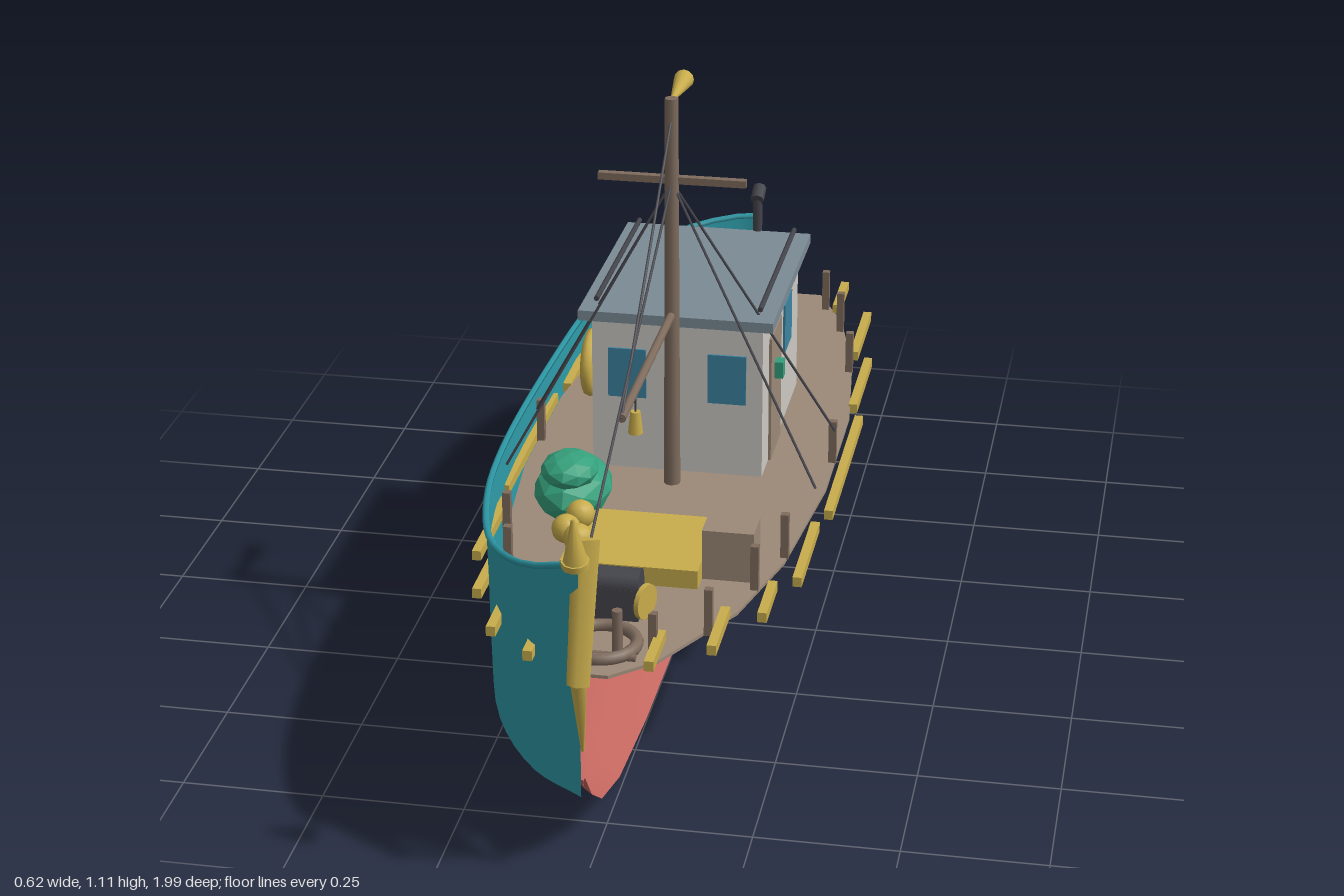
import * as THREE from 'three';

const mat = (name, color, extra = {}) => {
  const m = new THREE.MeshStandardMaterial({ color, ...extra });
  m.name = name;
  return m;
};

export function createModel() {
  const boat = new THREE.Group();
  const DS = { side: THREE.DoubleSide };
  const teal = mat('teal hull paint', 0x2e9ba8, DS);
  const red = mat('red bottom paint', 0xc2665e, DS);
  const deckTan = mat('deck planks', 0x9c8a78);
  const wood = mat('dark wood', 0x7f6c5e);
  const white = mat('cabin paint', 0xcdcac4);
  const slate = mat('roof slate', 0x7c8b96);
  const yellow = mat('yellow trim', 0xc8ac4c);
  const dark = mat('dark iron', 0x44444c);
  const glass = mat('window glass', 0x3c83a0);
  const green = mat('green net', 0x35a07c, { flatShading: true });

  const add = (name, geo, m, x = 0, y = 0, z = 0) => {
    const mesh = new THREE.Mesh(geo, m);
    mesh.name = name;
    mesh.position.set(x, y, z);
    boat.add(mesh);
    return mesh;
  };
  // box given by its min and max on each axis
  const box = (name, m, x0, x1, y0, y1, z0, z1) =>
    add(name, new THREE.BoxGeometry(x1 - x0, y1 - y0, z1 - z0), m, (x0 + x1) / 2, (y0 + y1) / 2, (z0 + z1) / 2);
  // round rod between two points
  const rod = (name, m, a, b, r0, r1 = r0, sides = 8) => {
    const A = new THREE.Vector3(...a), B = new THREE.Vector3(...b), d = B.clone().sub(A);
    const mesh = add(name, new THREE.CylinderGeometry(r1, r0, d.length(), sides), m);
    mesh.position.copy(A).add(B).multiplyScalar(0.5);
    mesh.quaternion.setFromUnitVectors(new THREE.Vector3(0, 1, 0), d.normalize());
    return mesh;
  };
  // open skin from a list of equally long cross-sections
  const skin = (name, m, sections) => {
    const n = sections[0].length, idx = [];
    for (let i = 0; i < sections.length - 1; i++)
      for (let j = 0; j < n - 1; j++) {
        const a = i * n + j, b = a + n;
        idx.push(a, a + 1, b, b, a + 1, b + 1);
      }
    const g = new THREE.BufferGeometry();
    g.setAttribute('position', new THREE.Float32BufferAttribute(sections.flat(2), 3));
    g.setIndex(idx);
    g.computeVertexNormals();
    return add(name, g, m);
  };

  // upper hull: half breadth and sheer height along the length, starboard half only
  const stations = [[0.93, 0.005, 0.585], [0.86, 0.1, 0.54], [0.7, 0.2, 0.49], [0.45, 0.27, 0.452], [0.2, 0.3, 0.432],
    [-0.2, 0.3, 0.426], [-0.5, 0.275, 0.438], [-0.7, 0.225, 0.455], [-0.83, 0.15, 0.475], [-0.885, 0.05, 0.488], [-0.895, 0, 0.49]];
  const line = new THREE.CatmullRomCurve3(stations.map(([z, x, y]) => new THREE.Vector3(-x, y, z)), false, 'centripetal');
  skin('upperHull', teal, line.getPoints(40).map((p) => [
    [p.x, p.y, p.z], [p.x * 0.99, p.y - 0.1, p.z], [p.x * 0.985, p.y - 0.2, p.z], [p.x * 0.975, 0.16, p.z]]));
  // rounded cap along the bulwark
  add('bulwarkCap', new THREE.TubeGeometry(line, 40, 0.006, 5), teal);

  // lower hull: V-shaped bottom with the keel rising at both ends
  const keel = [[0.92, 0.19, 0.18, 0.03], [0.87, 0.13, 0.19, 0.25], [0.79, 0.075, 0.2, 0.5], [0.64, 0.03, 0.212, 0.8], [0.4, 0.008, 0.225, 0.97],
    [0, 0.003, 0.232, 1], [-0.45, 0.005, 0.225, 0.95], [-0.68, 0.028, 0.208, 0.75], [-0.8, 0.065, 0.195, 0.5], [-0.88, 0.11, 0.185, 0.12]];
  skin('lowerHull', red, keel.map(([z, k, t, w]) => [[0, 0], [0.06, 0.2], [0.1, 0.46], [0.133, 0.7], [0.165, 1]]
    .map(([x, f]) => [-x * w, k + (t - k) * f, z])));

  // deck
  const half = [[0.03, 0.875], [0.1, 0.81], [0.2, 0.62], [0.25, 0.42], [0.28, 0.12], [0.28, -0.2], [0.25, -0.47], [0.2, -0.67], [0.14, -0.8]];
  const outline = [...half, ...half.map(([x, z]) => [-x, z]).reverse()].map(([x, z]) => new THREE.Vector2(x, -z));
  const deck = add('deck', new THREE.ExtrudeGeometry(new THREE.Shape(outline), { depth: 0.006, bevelEnabled: false }), deckTan, 0, 0.352, 0);
  deck.rotation.x = -Math.PI / 2;

  // rubbing strips and bulwark posts on both sides
  const strips = [[0.1, 0.78, 0.89, 0.39], [0.185, 0.65, 0.79, 0.374], [0.245, 0.52, 0.64, 0.362], [0.282, 0.27, 0.49, 0.356],
    [0.297, -0.01, 0.21, 0.35], [0.297, -0.21, -0.01, 0.35], [0.28, -0.48, -0.25, 0.354], [0.25, -0.7, -0.49, 0.36], [0.185, -0.84, -0.71, 0.366]];
  const posts = [[0.09, 0.8], [0.165, 0.7], [0.215, 0.53], [0.247, 0.4], [0.275, 0], [0.25, -0.42], [0.205, -0.62], [0.16, -0.73]];
  for (const s of [1, -1]) {
    for (const [x, z0, z1, y] of strips) box('rubbingStrip', yellow, s * x - 0.008, s * x + 0.008, y - 0.009, y + 0.009, z0, z1);
    for (const [x, z] of posts) box('bulwarkPost', wood, s * x - 0.007, s * x + 0.007, 0.355, 0.44, z - 0.007, z + 0.007);
  }

  // cabin, roof and roof rails
  box('cabin', white, -0.157, 0.157, 0.354, 0.655, -0.34, 0.09);
  const roof = box('cabinRoof', slate, -0.178, 0.178, 0.65, 0.669, -0.355, 0.112);
  roof.rotation.x = -0.012;
  for (const s of [1, -1]) rod('roofRail', dark, [s * 0.15, 0.682, -0.33], [s * 0.15, 0.684, 0.08], 0.005);
  // windows and door
  for (const s of [1, -1]) {
    box('frontWindow', glass, s * 0.092 - 0.035, s * 0.092 + 0.035, 0.5, 0.595, 0.088, 0.094);
    const x = s * 0.157;
    box('sideWindow', glass, x - 0.004, x + 0.004, 0.5, 0.597, -0.24, -0.155);
  }
  box('sideWindow', glass, -0.161, -0.153, 0.5, 0.597, -0.11, -0.04);
  box('cabinDoor', wood, 0.153, 0.162, 0.358, 0.6, -0.105, 0.015).material = deckTan;
  box('greenLamp', green, 0.162, 0.178, 0.508, 0.54, -0.045, -0.02);
  box('redLamp', red, -0.178, -0.157, 0.508, 0.54, -0.045, -0.02);
  add('lifebuoy', new THREE.TorusGeometry(0.052, 0.012, 8, 20), yellow, -0.17, 0.537, 0.03).rotation.y = Math.PI / 2;

  // exhaust stack
  rod('exhaustPipe', dark, [0.075, 0.355, -0.358], [0.075, 0.735, -0.358], 0.009);
  rod('exhaustMuffler', dark, [0.075, 0.5, -0.358], [0.075, 0.63, -0.358], 0.018, 0.018, 12);
  rod('exhaustTip', dark, [0.075, 0.73, -0.35], [0.075, 0.745, -0.38], 0.013);

  // mast, yard, boom, horn and hanging lamp
  rod('mast', wood, [0, 0.355, 0.14], [0, 1.095, 0.14], 0.015, 0.012, 10);
  box('yard', wood, -0.132, 0.132, 0.937, 0.95, 0.128, 0.142);
  rod('boom', wood, [0, 0.69, 0.14], [0, 0.69, 0.6], 0.008);
  rod('mastHorn', yellow, [0, 1.09, 0.13], [0, 1.09, 0.02], 0.004, 0.018, 12);
  rod('lampCord', dark, [0, 0.69, 0.48], [0, 0.65, 0.48], 0.002, 0.002, 4);
  rod('hangingLamp', yellow, [0, 0.61, 0.48], [0, 0.65, 0.48], 0.013, 0.009);

  // rigging
  const ropes = [[[0, 1.06, 0.14], [0, 0.69, 0.6]], [[0, 0.94, 0.14], [0, 0.69, 0.6]], [[0, 0.94, 0.14], [0, 0.57, 0.9]]];
  for (const s of [1, -1]) for (const z of [0.26, 0.01]) ropes.push([[0, 0.94, 0.14], [s * 0.28, 0.425, z]]);
  // the second entry would double the topping lift, so it is left out
  ropes.filter((_, i) => i !== 1).forEach(([a, b]) => rod('rope', dark, a, b, 0.0025, 0.0025, 5));

  // stem post with pointed finial
  rod('stemPost', yellow, [0, 0.385, 0.965], [0, 0.61, 0.89], 0.019, 0.023, 4);
  rod('stemSpike', yellow, [0, 0.25, 0.935], [0, 0.39, 0.962], 0.003, 0.014, 4);
  rod('stemFinial', yellow, [0, 0.612, 0.972], [0, 0.69, 0.985], 0.02, 0.003, 10);
  rod('finialCollar', yellow, [0, 0.602, 0.97], [0, 0.613, 0.972], 0.023, 0.023, 10);

  // foredeck: hatch, floats, net pile, windlass, crates, coils, disc
  box('hatch', yellow, -0.12, 0.12, 0.357, 0.392, 0.34, 0.55);
  for (const [x, z] of [[-0.115, 0.4], [-0.128, 0.46], [-0.1, 0.492]])
    add('float', new THREE.SphereGeometry(0.026, 12, 8), yellow, x, 0.408, z);
  add('netPile', new THREE.IcosahedronGeometry(1, 1), green, -0.15, 0.41, 0.295).scale.set(0.07, 0.053, 0.1);
  add('netPileTop', new THREE.IcosahedronGeometry(1, 1), green, -0.15, 0.458, 0.325).scale.set(0.052, 0.03, 0.062);
  box('windlassBase', dark, -0.043, 0.043, 0.357, 0.415, 0.63, 0.685);
  rod('windlassDrum', dark, [-0.043, 0.415, 0.657], [0.043, 0.415, 0.657], 0.0275, 0.0275, 14);
  box('foreCrate', deckTan, 0.12, 0.21, 0.357, 0.45, 0.44, 0.51);
  box('aftCrate', deckTan, -0.18, -0.085, 0.357, 0.45, -0.595, -0.525);
  for (const [z, r] of [[0.785, 0.06], [-0.73, 0.05]])
    add('ropeCoil', new THREE.TorusGeometry(r, 0.011, 8, 24), wood, 0, 0.37, z).rotation.x = Math.PI / 2;
  for (const x of [-0.035, 0.035]) rod('bowBitt', wood, [x, 0.357, 0.82], [x, 0.45, 0.82], 0.009);
  rod('bittBar', wood, [-0.065, 0.365, 0.82], [0.065, 0.365, 0.82], 0.007);
  rod('bowDisc', yellow, [0.075, 0.463, 0.805], [0.083, 0.463, 0.808], 0.03, 0.03, 16);

  // rudder, hinges and tiller
  box('rudder', deckTan, -0.01, 0.01, 0.085, 0.32, -1, -0.892);
  for (const y of [0.14, 0.265]) box('rudderHinge', dark, -0.014, 0.014, y - 0.006, y + 0.006, -0.945, -0.87);
  rod('tiller', wood, [0, 0.43, -0.74], [0, 0.4, -0.935], 0.009);

  return boat;
}
